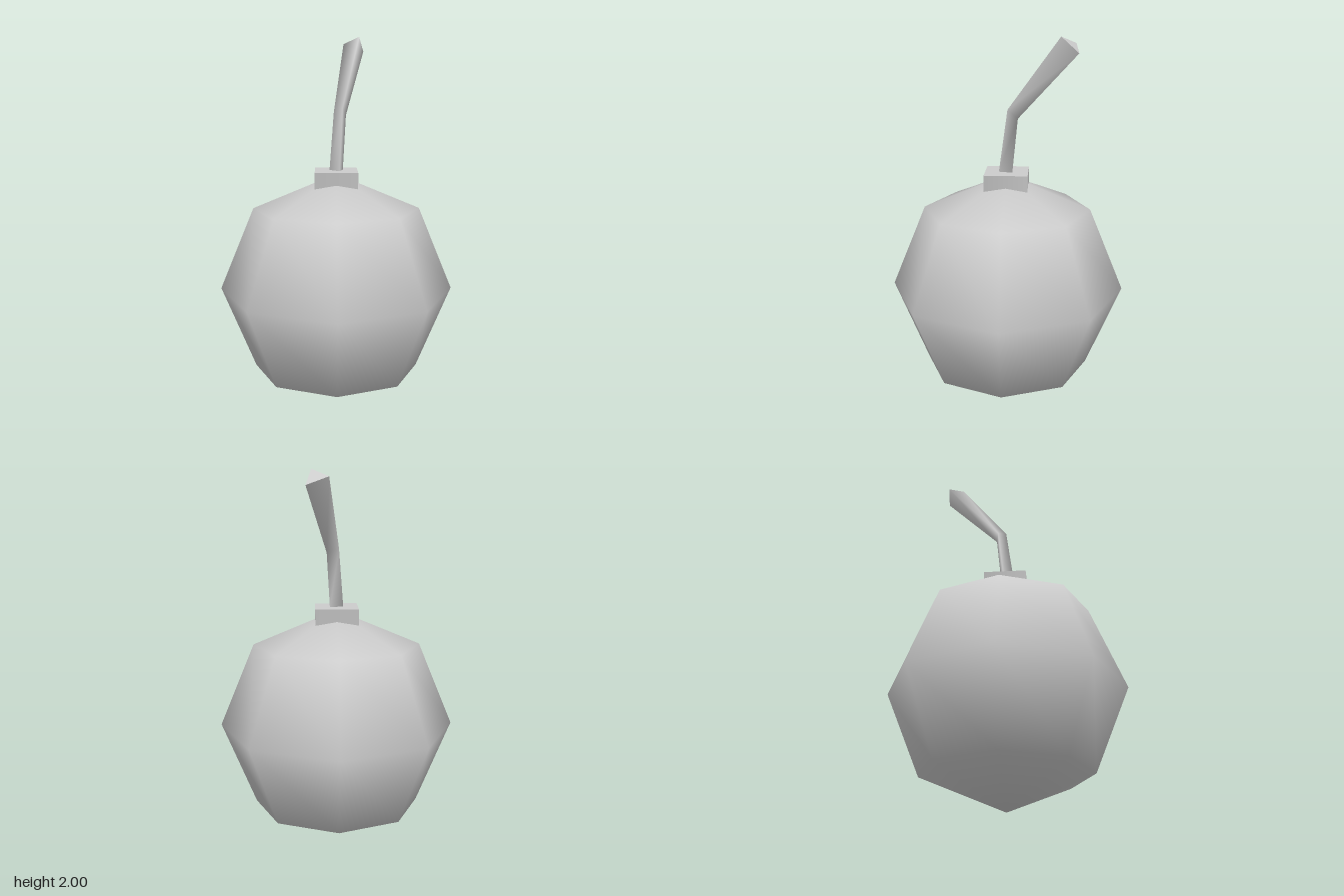
import * as THREE from 'three';

const grey = new THREE.MeshStandardMaterial({ color: 0xcccccc });
grey.name = 'grey';

function part(name, geometry, y = 0) {
  const mesh = new THREE.Mesh(geometry, grey);
  mesh.name = name;
  mesh.position.y = y;
  return mesh;
}

// Smooth side walls through a stack of equal, counterclockwise cross-sections
function loft(sections) {
  const n = sections[0].length;
  const index = [];
  for (let s = 0; s < sections.length - 1; s++) {
    for (let i = 0; i < n; i++) {
      const a = s * n + i, b = s * n + (i + 1) % n;
      index.push(a, b, b + n, a, b + n, a + n);
    }
  }
  return flatGeometry(sections.flat(), index);
}

function flatGeometry(points, index) {
  const g = new THREE.BufferGeometry();
  g.setAttribute('position', new THREE.Float32BufferAttribute(points.flat(), 3));
  g.setIndex(index);
  g.computeVertexNormals();
  return g;
}

export function createModel() {
  const model = new THREE.Group();
  model.name = 'roundBomb';

  // Low-poly round body with smooth normals
  const radius = 0.635;
  model.add(part('body', new THREE.SphereGeometry(radius, 8, 4), radius));

  // Four-sided collar, corners on the axes
  model.add(part('collar', new THREE.CylinderGeometry(0.162, 0.162, 0.17, 4), 1.205));

  // Bent three-sided fuse: base, bend and tip
  const sections = [
    [[-0.034, 1.285, 0.017], [0.043, 1.285, 0.017], [0.004, 1.285, -0.047]],
    [[-0.042, 1.6, -0.025], [0.021, 1.623, -0.028], [-0.005, 1.58, -0.08]],
    [[-0.217, 1.963, -0.281], [-0.102, 2.0, -0.287], [-0.146, 1.922, -0.37]],
  ];
  const fuse = new THREE.Group();
  fuse.name = 'fuse';
  fuse.add(part('fuseSides', loft(sections)));
  fuse.add(part('fuseTip', flatGeometry(sections[2], [0, 1, 2])));
  model.add(fuse);

  return model;
}
